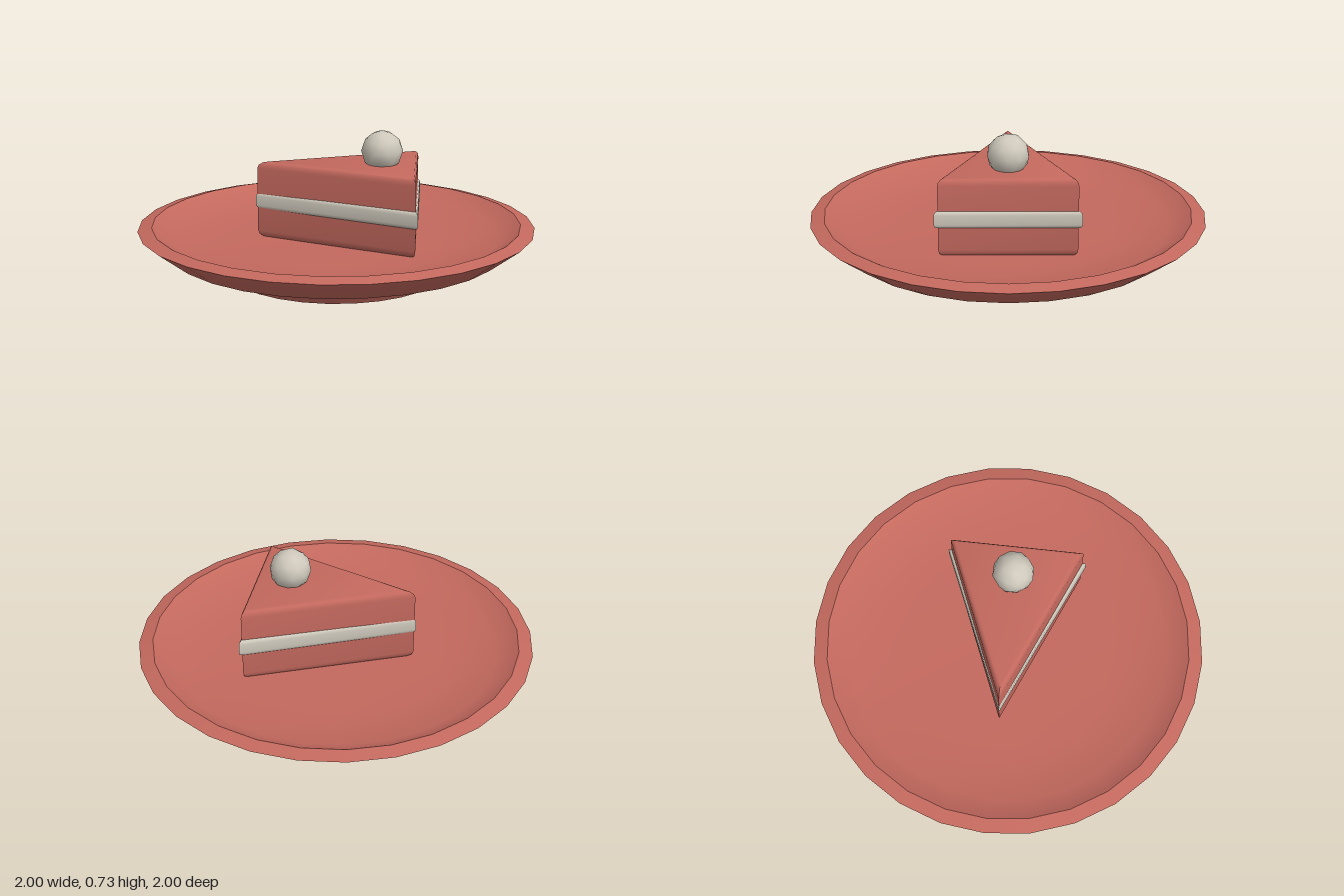
import * as THREE from 'three';
import { mergeGeometries, toCreasedNormals } from 'three/addons/utils/BufferGeometryUtils.js';

const V = (x, y) => new THREE.Vector2(x, y);

// Triangular slab with rounded top and bottom edges; its tip points to -x.
function wedge({ tip, back, halfWidth, bottom, top, inset, round, steps }) {
  const slope = halfWidth / (back - tip);
  const sinHalf = Math.sin(Math.atan(slope));
  const rings = [];
  const addRing = (d, y) => {
    const tx = tip + d / sinHalf, bx = back - d, z = (bx - tx) * slope;
    rings.push([[tx, y, 0], [bx, y, z], [bx, y, -z]]);
  };
  for (let i = 0; i <= steps; i++) {
    const a = (i / steps) * Math.PI / 2;
    addRing(inset * (1 - Math.sin(a)), bottom + round * (1 - Math.cos(a)));
  }
  for (let i = steps; i >= 0; i--) {
    const a = (i / steps) * Math.PI / 2;
    addRing(inset * (1 - Math.sin(a)), top - round * (1 - Math.cos(a)));
  }

  const pos = [];
  const tri = (...corners) => corners.forEach((c) => pos.push(...c));
  for (let r = 0; r < rings.length - 1; r++) {
    for (let i = 0; i < 3; i++) {
      const j = (i + 1) % 3;
      const a = rings[r][i], b = rings[r][j], c = rings[r + 1][j], d = rings[r + 1][i];
      tri(a, b, c);
      tri(a, c, d);
    }
  }
  const first = rings[0], last = rings[rings.length - 1];
  tri(first[0], first[2], first[1]);
  tri(last[0], last[1], last[2]);

  const geometry = new THREE.BufferGeometry();
  geometry.setAttribute('position', new THREE.Float32BufferAttribute(pos, 3));
  return toCreasedNormals(geometry, 0.7);
}

export function createModel() {
  const model = new THREE.Group();
  const red = new THREE.MeshStandardMaterial({ color: 0xc4695e });
  red.name = 'warm red';
  const cream = new THREE.MeshStandardMaterial({ color: 0xd0cabd });
  cream.name = 'cream';

  const add = (name, geometry, material) => {
    const mesh = new THREE.Mesh(geometry, material);
    mesh.name = name;
    model.add(mesh);
    return mesh;
  };

  // Plate: smooth bands that meet at sharp edges
  const bands = [
    [V(0, 0), V(0.55, 0)],
    [V(0.55, 0), V(0.6, 0.08), V(0.85, 0.125), V(1, 0.24)],
    [V(1, 0.24), V(0.93, 0.257)],
    [V(0.93, 0.257), V(0.82, 0.195), V(0.55, 0.17), V(0, 0.165)],
  ];
  add('plate', mergeGeometries(bands.map((band) => new THREE.LatheGeometry(band, 28))), red);

  // Cake slice
  add('cakeSlice', wedge({
    tip: -0.4, back: 0.407, halfWidth: 0.337, bottom: 0.165, top: 0.56,
    inset: 0.022, round: 0.035, steps: 3,
  }), red);

  // Cream filling, slightly wider than the sponge
  add('creamFilling', wedge({
    tip: -0.408, back: 0.418, halfWidth: 0.356, bottom: 0.313, top: 0.4,
    inset: 0.014, round: 0.02, steps: 3,
  }), cream);

  // Cream ball on top, with one corner pointing up
  const ball = new THREE.IcosahedronGeometry(0.105, 1);
  ball.rotateX(-Math.atan((1 + Math.sqrt(5)) / 2));
  add('creamBall', ball, cream).position.set(0.23, 0.625, 0);

  return model;
}
